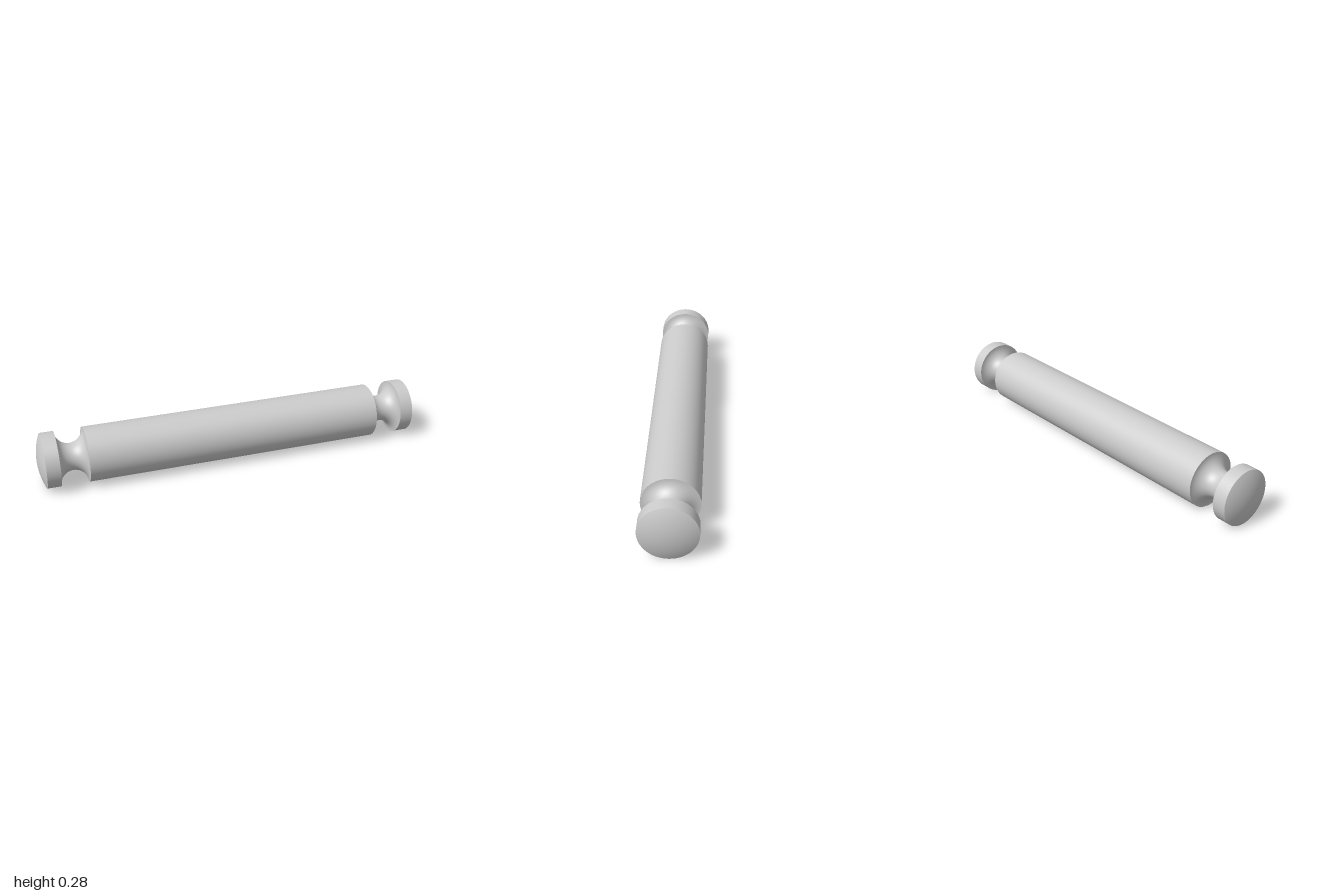
import * as THREE from 'three';

const R = 0.1375;          // pin radius
const SHAFT = 0.762;       // half length of the plain shaft
const HEAD = 0.902;        // inner face of the head
const RIM = 0.97;          // where the domed end begins
const SEGMENTS = 96;

export function createModel() {
  const model = new THREE.Group();
  model.name = 'groovedPin';
  const material = new THREE.MeshStandardMaterial({ color: 0xcccccc });

  // Turned part along x; separate pieces keep the edges between them sharp
  const turned = (name, points, parent) => {
    const profile = points.map(([r, x]) => new THREE.Vector2(r, x));
    const geometry = new THREE.LatheGeometry(profile, SEGMENTS);
    geometry.rotateZ(-Math.PI / 2);
    const mesh = new THREE.Mesh(geometry, material);
    mesh.name = name;
    parent.add(mesh);
  };

  // Points from a rule, t running 0..1
  const sample = (n, rule) => Array.from({ length: n + 1 }, (_, i) => rule(i / n));

  // Plain cylindrical shaft
  turned('shaft', [[R, -SHAFT], [R, SHAFT]], model);

  // Half-round groove and spherical dome profiles
  const grooveRadius = (HEAD - SHAFT) / 2;
  const grooveCentre = (HEAD + SHAFT) / 2;
  const groove = sample(24, t => [
    R - grooveRadius * Math.sin(Math.PI * t),
    grooveCentre - grooveRadius * Math.cos(Math.PI * t),
  ]);
  const rise = 1 - RIM;
  const domeRadius = (R * R + rise * rise) / (2 * rise);
  const domeAngle = Math.asin(R / domeRadius);
  const dome = sample(12, t => {
    const a = domeAngle * (1 - t);
    return [domeRadius * Math.sin(a), 1 - domeRadius + domeRadius * Math.cos(a)];
  });

  // Two identical ends, the second turned half round
  for (const side of ['left', 'right']) {
    const end = new THREE.Group();
    end.name = side + 'End';
    turned('groove', groove, end);
    turned('headRim', [[R, HEAD], [R, RIM]], end);
    turned('domedCap', dome, end);
    if (side === 'right') end.rotation.y = Math.PI;
    model.add(end);
  }

  model.position.y = R;
  return model;
}
